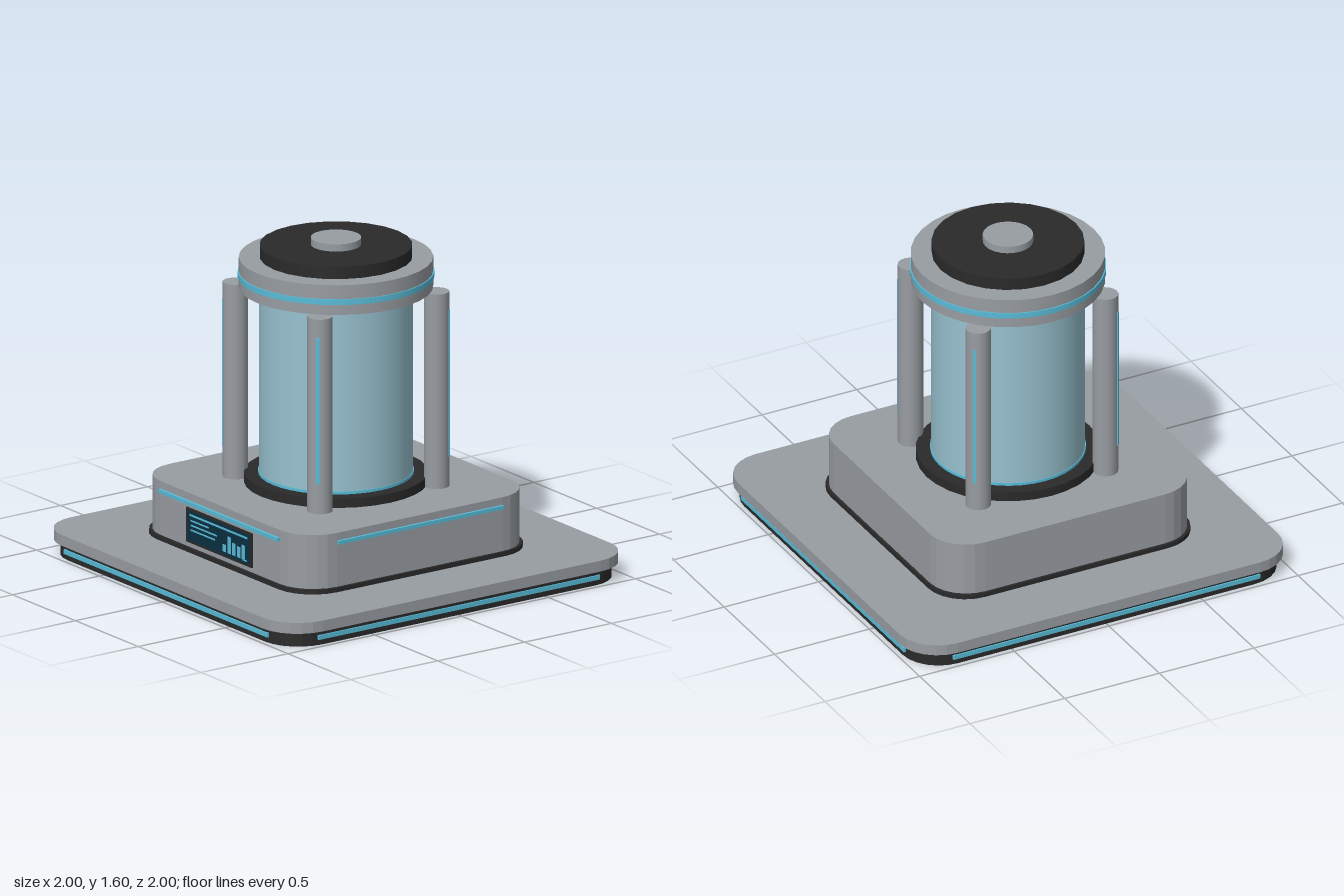
import * as THREE from 'three';

const mat = (name, color) => Object.assign(new THREE.MeshStandardMaterial({ color }), { name });

export function createModel() {
  const model = new THREE.Group();
  model.name = 'displayChamber';
  const grey = mat('satin grey', 0x989da2);
  const dark = mat('dark rubber', 0x2a2a2b);
  const cyan = mat('cyan glow', 0x58bcd8);
  const glass = mat('pale blue glass', 0x98c2d0);
  const navy = mat('screen navy', 0x0c2f40);

  const add = (name, geometry, material, x = 0, y = 0, z = 0, parent = model) => {
    const mesh = new THREE.Mesh(geometry, material);
    mesh.name = name;
    mesh.position.set(x, y, z);
    parent.add(mesh);
    return mesh;
  };
  const box = (name, w, h, d, material, x, y, z, parent) =>
    add(name, new THREE.BoxGeometry(w, h, d), material, x, y, z, parent);
  const disc = (name, r, y0, y1, material, sides = 32) =>
    add(name, new THREE.CylinderGeometry(r, r, y1 - y0, sides), material, 0, (y0 + y1) / 2, 0);

  // Square slab with rounded corners, extruded upwards from y0 to y1
  const slab = (name, half, r, y0, y1, material) => {
    const c = half - r;
    const shape = new THREE.Shape();
    [[c, c], [-c, c], [-c, -c], [c, -c]].forEach(([x, y], i) =>
      shape.absarc(x, y, r, i * Math.PI / 2, (i + 1) * Math.PI / 2, false));
    const g = new THREE.ExtrudeGeometry(shape, { depth: y1 - y0, bevelEnabled: false, curveSegments: 3 });
    g.rotateX(-Math.PI / 2);
    add(name, g, material, 0, y0, 0);
  };

  // Plinth and housing
  slab('baseFoot', 0.975, 0.19, 0, 0.072, dark);
  slab('basePlate', 1, 0.2, 0.072, 0.125, grey);
  slab('housingSkirt', 0.68, 0.195, 0.125, 0.147, dark);
  slab('housing', 0.667, 0.19, 0.147, 0.41, grey);

  // Light strips on all four sides of the foot, and on the front and left of the housing
  for (let i = 0; i < 4; i++) {
    const side = new THREE.Group();
    side.name = 'sideLights';
    side.rotation.y = i * Math.PI / 2;
    model.add(side);
    box('footLight', 1.62, 0.022, 0.014, cyan, 0, 0.038, 0.975, side);
    if (i < 2) box('housingLight', 0.95, 0.018, 0.02, cyan, 0, 0.364, 0.67, side);
  }

  // Glass chamber with its collars
  disc('chamberCollar', 0.43, 0.41, 0.455, dark);
  disc('glassChamber', 0.36, 0.455, 1.36, glass, 40);
  disc('lowerGlassRing', 0.364, 0.455, 0.468, cyan, 40);
  disc('upperGlassRing', 0.364, 1.342, 1.352, cyan, 40);

  // Cap stack
  disc('cap', 0.454, 1.36, 1.505, grey);
  disc('capLightRing', 0.46, 1.41, 1.437, cyan);
  disc('capLid', 0.357, 1.505, 1.565, dark, 24);
  disc('capKnob', 0.118, 1.565, 1.6, grey, 24);

  // Corner pillars, each with a thin light facing outwards
  for (let i = 0; i < 4; i++) {
    const pillar = new THREE.Group();
    pillar.name = 'pillar';
    pillar.rotation.y = Math.PI / 4 + i * Math.PI / 2;
    model.add(pillar);
    add('pillarPost', new THREE.CylinderGeometry(0.06, 0.06, 0.95, 16), grey, 0, 0.885, 0.475, pillar);
    box('pillarLight', 0.015, 0.715, 0.01, cyan, 0, 0.913, 0.533, pillar);
  }

  // Front screen with data lines and a bar chart
  const screen = new THREE.Group();
  screen.name = 'screen';
  screen.position.set(0, 0.255, 0.667);
  model.add(screen);
  box('screenFrame', 0.52, 0.168, 0.009, dark, 0, 0, 0.003, screen);
  box('screenPanel', 0.495, 0.146, 0.004, navy, 0, 0, 0.0075, screen);
  const mark = (name, x0, x1, y0, y1) =>
    box(name, x1 - x0, y1 - y0, 0.003, cyan, (x0 + x1) / 2, (y0 + y1) / 2, 0.0095, screen);
  mark('headerLine', -0.23, 0.23, 0.049, 0.059);
  [0.145, 0.21, 0.195].forEach((w, i) =>
    mark('dataLine', -0.222, -0.222 + w, 0.024 - i * 0.023, 0.032 - i * 0.023));
  [0.036, 0.082, 0.06, 0.054, 0.07].forEach((h, i) =>
    mark('chartBar', 0.035 + i * 0.0375, 0.061 + i * 0.0375, -0.057, -0.057 + h));
  mark('chartFoot', 0.195, 0.228, -0.062, -0.055);

  return model;
}
